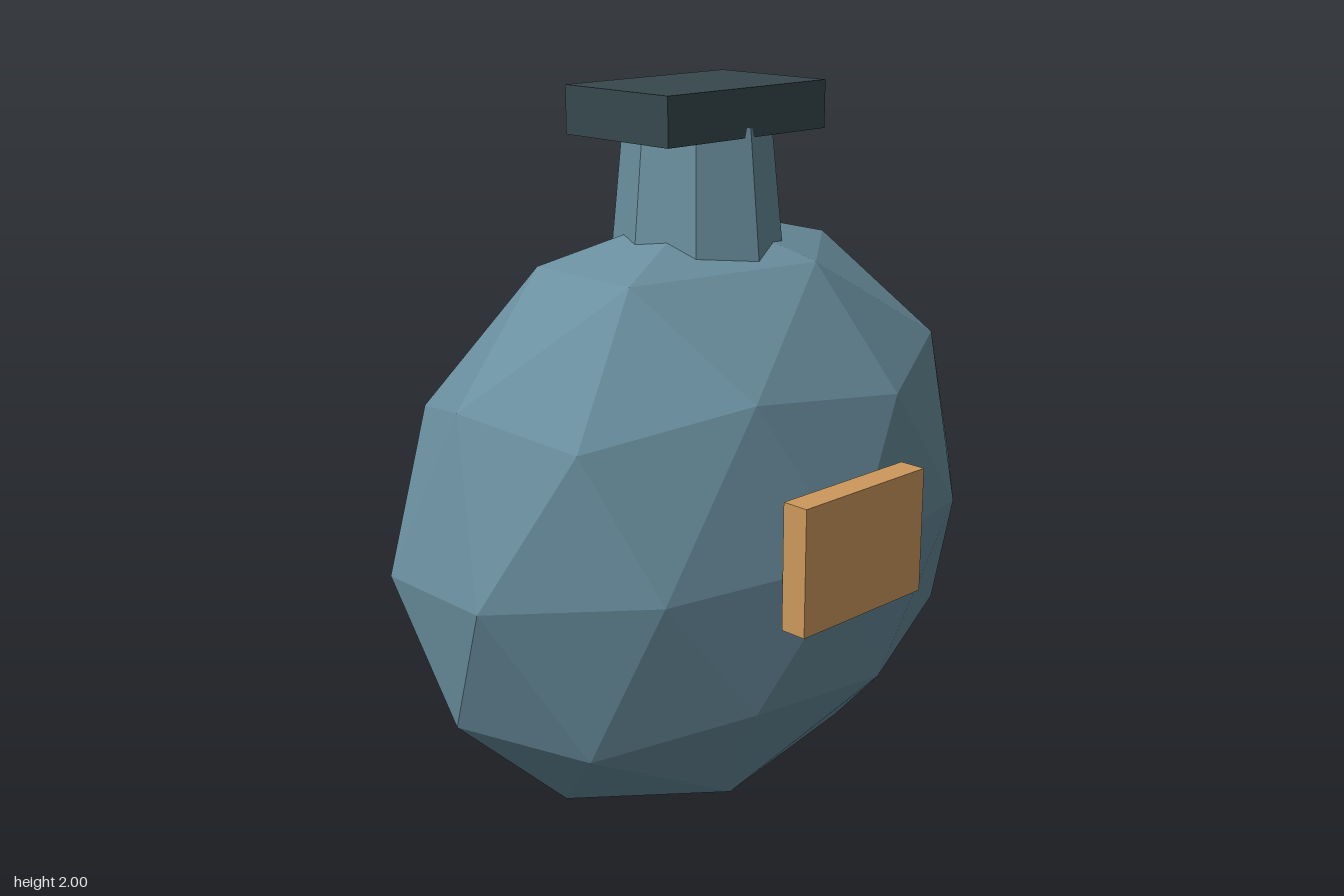
import * as THREE from 'three';

const CENTER_Z = -0.02;

function material(name, color) {
  const m = new THREE.MeshStandardMaterial({ color, flatShading: true });
  m.name = name;
  return m;
}

// Faceted sphere with vertices at the top and bottom poles, stretched to an ellipsoid
function facetedEllipsoid(rx, ry, rz) {
  const h = 1 / Math.sqrt(5), r = 2 * h;
  const points = [0, -1, 0];
  for (const [y, start] of [[-h, Math.PI], [h, 0]]) {
    for (let i = 0; i < 5; i++) {
      const a = start + (i * Math.PI * 2) / 5;
      points.push(r * Math.cos(a), y, r * Math.sin(a));
    }
  }
  points.push(0, 1, 0);
  const faces = [];
  for (let i = 0; i < 5; i++) {
    const lo = 1 + i, loNext = 1 + ((i + 1) % 5);
    const up = 6 + ((i + 3) % 5); // upper vertex between lo and loNext
    const upPrev = 6 + ((i + 2) % 5);
    faces.push(0, lo, loNext, lo, up, loNext, lo, upPrev, up, 11, up, upPrev);
  }
  const geometry = new THREE.PolyhedronGeometry(points, faces, 1, 1);
  geometry.scale(rx, ry, rz);
  geometry.computeVertexNormals();
  return geometry;
}

export function createModel() {
  const group = new THREE.Group();
  group.name = 'flask';
  const glass = material('blue grey glass', 0x6a8f9f);
  const dark = material('dark slate', 0x37484d);
  const tan = material('tan label', 0xcd995c);

  const add = (name, geometry, mat, x, y, z) => {
    const mesh = new THREE.Mesh(geometry, mat);
    mesh.name = name;
    mesh.position.set(x, y, z);
    group.add(mesh);
  };

  // Flattened faceted body
  add('body', facetedEllipsoid(0.946, 0.838, 0.568), glass, 0, 0.838, CENTER_Z);
  // Tapered eight-sided neck, sunk into the body and the stopper
  add('neck', new THREE.CylinderGeometry(0.193, 0.233, 0.4, 8), glass, 0, 1.7, CENTER_Z);
  // Rectangular stopper
  add('stopper', new THREE.BoxGeometry(0.566, 0.125, 0.378), dark, 0, 1.9375, CENTER_Z);
  // Raised plate on the front
  add('frontPlate', new THREE.BoxGeometry(0.452, 0.34, 0.075), tan, 0, 0.875, 0.5505);

  return group;
}
